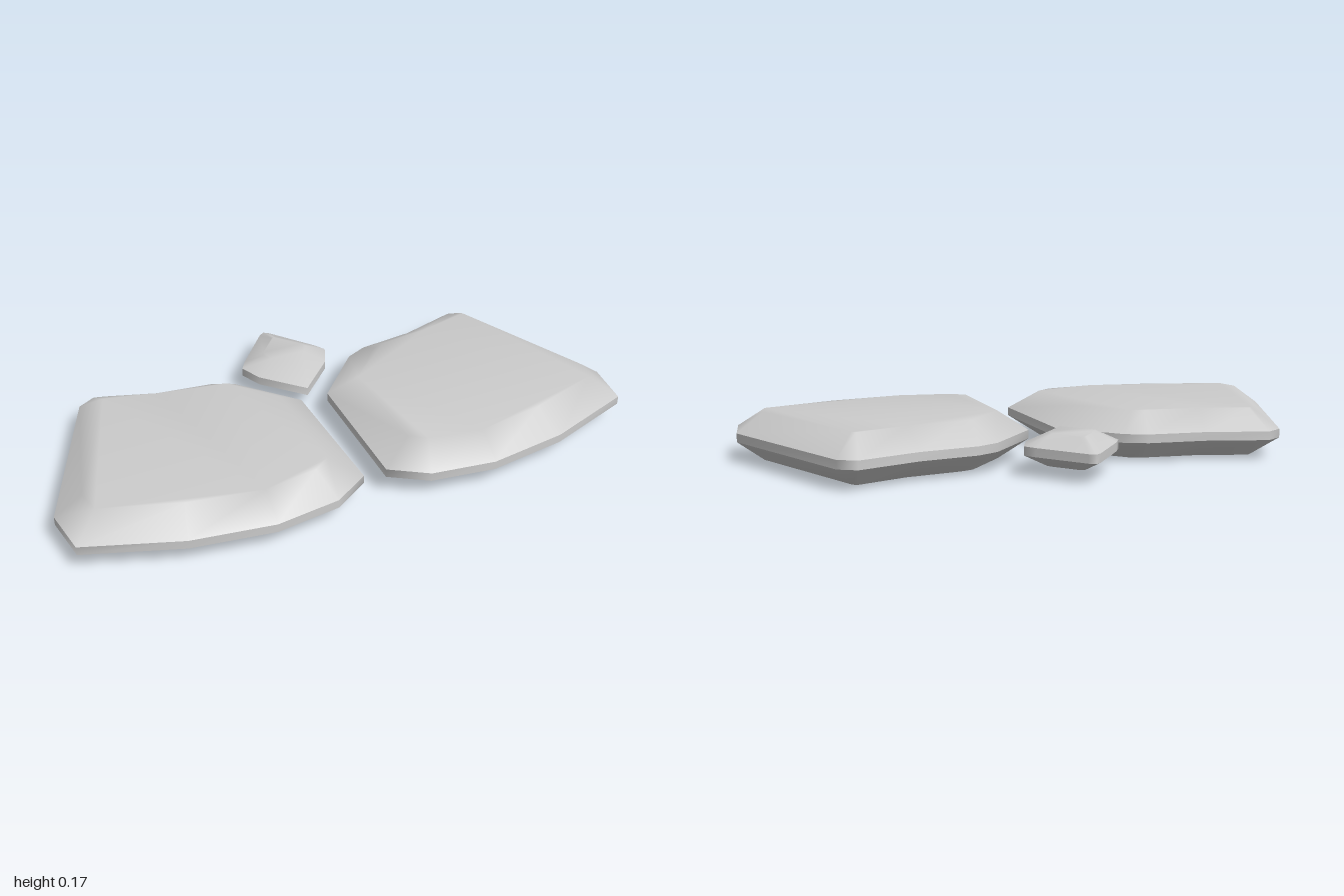
import * as THREE from 'three';
import { mergeGeometries } from 'three/addons/utils/BufferGeometryUtils.js';

// Wall between two [x, z] loops (clockwise from above), optionally closed by a flat cap
function shell(lower, yLow, upper, yHigh, cap) {
  const n = lower.length, pos = [], index = [];
  lower.forEach(([x, z]) => pos.push(x, yLow, z));
  upper.forEach(([x, z]) => pos.push(x, yHigh, z));
  for (let i = 0; i < n; i++) {
    const j = (i + 1) % n;
    index.push(j, i, n + i, j, n + i, n + j);
  }
  if (cap) {
    const loop = cap === 'top' ? upper : lower;
    const base = cap === 'top' ? n : 0;
    const pts = loop.map(([x, z]) => new THREE.Vector2(x, z));
    for (const [a, b, c] of THREE.ShapeUtils.triangulateShape(pts, [])) {
      const facesDown = THREE.ShapeUtils.area([pts[a], pts[b], pts[c]]) > 0;
      if (facesDown === (cap === 'top')) index.push(base + a, base + c, base + b);
      else index.push(base + a, base + b, base + c);
    }
  }
  const g = new THREE.BufferGeometry();
  g.setAttribute('position', new THREE.Float32BufferAttribute(pos, 3));
  g.setIndex(index);
  g.computeVertexNormals();
  return g;
}

// Bevelled slab: soft bottom shell, crisp vertical belt, soft top shell
function slab(name, outer, inset, [y0, y1, y2, y3]) {
  const geometry = mergeGeometries([
    shell(inset, y0, outer, y1, 'bottom'),
    shell(outer, y1, outer, y2),
    shell(outer, y2, inset, y3, 'top'),
  ]);
  const mesh = new THREE.Mesh(geometry, new THREE.MeshStandardMaterial({ color: 0xcccccc }));
  mesh.name = name;
  return mesh;
}

const mirrored = (loop) => loop.map(([x, z]) => [-x, z]).reverse();

export function createModel() {
  const group = new THREE.Group();
  group.name = 'platePair';

  // Large side plates
  const plateOuter = [
    [0.05, -0.06], [0.225, -0.25], [0.3, -0.285], [0.5, -0.31], [0.71, -0.375], [0.77, -0.34],
    [1, 0.215], [0.975, 0.38], [0.66, 0.49], [0.385, 0.53], [0.165, 0.5], [0.04, 0.42],
  ];
  const plateInset = [
    [0.15, -0.02], [0.285, -0.17], [0.33, -0.185], [0.52, -0.21], [0.69, -0.265], [0.705, -0.255],
    [0.908, 0.228], [0.89, 0.31], [0.635, 0.393], [0.385, 0.435], [0.2, 0.405], [0.145, 0.365],
  ];
  const plateY = [0, 0.07, 0.1, 0.167];
  group.add(slab('leftPlate', plateOuter, plateInset, plateY));
  group.add(slab('rightPlate', mirrored(plateOuter), mirrored(plateInset), plateY));

  // Small diamond at the back, half outline mirrored about x = 0
  const whole = (half) => [...half, ...mirrored(half.slice(1, -1))];
  const studOuter = whole([[0, -0.54], [0.02, -0.525], [0.14, -0.375], [0.165, -0.335], [0.13, -0.255], [0, -0.12]]);
  const studInset = whole([[0, -0.435], [0.01, -0.43], [0.075, -0.35], [0.085, -0.33], [0.065, -0.3], [0, -0.23]]);
  group.add(slab('centreDiamond', studOuter, studInset, [0.03, 0.07, 0.1, 0.138]));

  return group;
}
